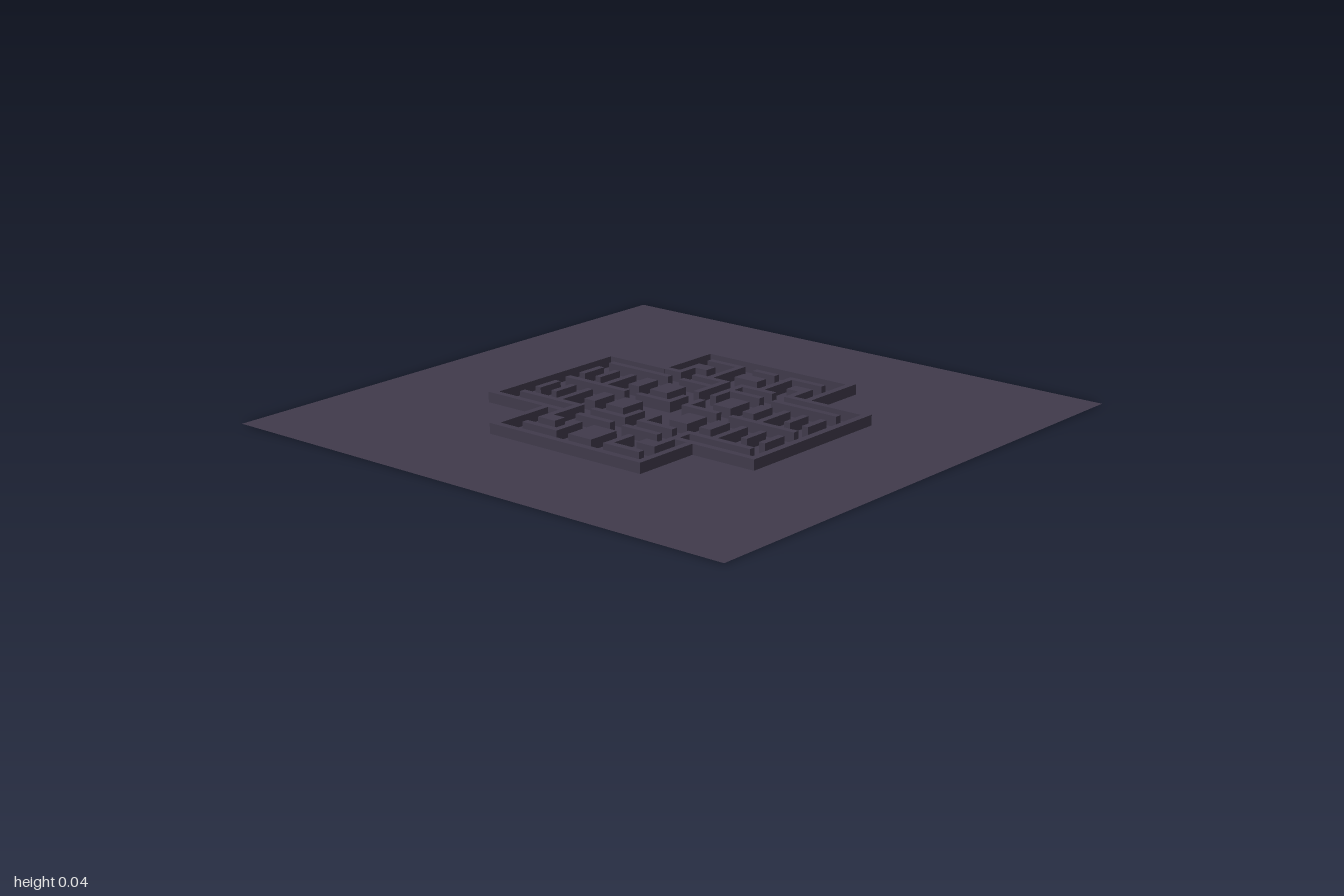
import * as THREE from 'three';

const HEIGHT = 0.038;

// Cross-shaped outline: wide bar (wx by az) crossed with a long bar (ax by lz)
function crossPoints(wx, lz, ax, az) {
  return [
    [-ax, -lz], [ax, -lz], [ax, -az], [wx, -az], [wx, az], [ax, az],
    [ax, lz], [-ax, lz], [-ax, az], [-wx, az], [-wx, -az], [-ax, -az],
  ].map(([x, z]) => new THREE.Vector2(x, z));
}

export function createModel() {
  const model = new THREE.Group();
  model.name = 'maze';
  const stone = new THREE.MeshStandardMaterial({ color: 0x403a4b, side: THREE.DoubleSide });
  stone.name = 'dark purple stone';

  // Thin ground sheet
  const ground = new THREE.Mesh(new THREE.PlaneGeometry(2, 1.976).rotateX(-Math.PI / 2), stone);
  ground.name = 'ground';
  ground.position.y = 0.002;
  model.add(ground);

  // Outer wall following the cross outline
  const outline = new THREE.Shape(crossPoints(0.56, 0.55, 0.316, 0.303));
  outline.holes.push(new THREE.Path(crossPoints(0.535, 0.525, 0.292, 0.279)));
  const outer = new THREE.Mesh(
    new THREE.ExtrudeGeometry(outline, { depth: HEIGHT, bevelEnabled: false }).rotateX(-Math.PI / 2), stone);
  outer.name = 'outerWall';
  model.add(outer);

  const walls = new THREE.Group();
  walls.name = 'innerWalls';
  model.add(walls);

  // Wall block from x0..x1 and z0..z1
  function block(name, x0, x1, z0, z1) {
    const mesh = new THREE.Mesh(new THREE.BoxGeometry(x1 - x0, HEIGHT, z1 - z0), stone);
    mesh.position.set((x0 + x1) / 2, HEIGHT / 2, (z0 + z1) / 2);
    mesh.name = name;
    walls.add(mesh);
  }
  // The same block on both sides of the centre line
  function pair(name, x0, x1, z0, z1) {
    block(name + 'Left', x0, x1, z0, z1);
    block(name + 'Right', -x1, -x0, z0, z1);
  }

  // Back arm
  pair('backBar', 0.098, 0.245, -0.476, -0.452);
  pair('backStem', 0.098, 0.122, -0.476, -0.28);
  pair('backHook', 0.172, 0.245, -0.406, -0.358);
  pair('backHookStem', 0.221, 0.245, -0.406, -0.28);
  pair('backHookFoot', 0.221, 0.305, -0.304, -0.28);
  block('backCentreBar', -0.048, 0.048, -0.476, -0.452);
  block('backCentreBlock', -0.048, 0.048, -0.406, -0.356);

  // Front arm
  pair('frontBar', 0.098, 0.245, 0.449, 0.474);
  pair('frontStem', 0.098, 0.122, 0.353, 0.474);
  pair('frontHook', 0.172, 0.245, 0.353, 0.401);
  pair('frontHookStem', 0.221, 0.245, 0.21, 0.401);
  pair('frontHookFoot', 0.221, 0.305, 0.279, 0.303);
  block('frontCentreBlock', -0.048, 0.048, 0.353, 0.474);

  // Long rails across the hall
  for (const z of [-0.224, -0.003, 0.219]) {
    pair('outerRail', 0.221, 0.486, z - 0.012, z + 0.012);
    pair('innerRail', 0.024, 0.172, z - 0.012, z + 0.012);
  }
  for (const z of [-0.292, 0.291]) pair('endRail', 0.024, 0.172, z - 0.012, z + 0.012);

  // Rows of shelf blocks between the rails
  for (const z of [-0.112, 0.107]) {
    for (const [x0, x1] of [[0.098, 0.172], [0.221, 0.267], [0.391, 0.414], [0.462, 0.486]]) {
      pair('shelf', x0, x1, z - 0.049, z + 0.049);
    }
  }
  pair('backTallShelf', 0.316, 0.34, -0.161, -0.005);
  pair('frontTallShelf', 0.316, 0.34, 0.058, 0.219);

  // Posts along the central corridor
  pair('backPost', 0.024, 0.048, -0.304, -0.139);
  pair('middlePost', 0.024, 0.048, -0.086, 0.009);
  pair('frontPost', 0.024, 0.048, 0.134, 0.231);

  return model;
}
